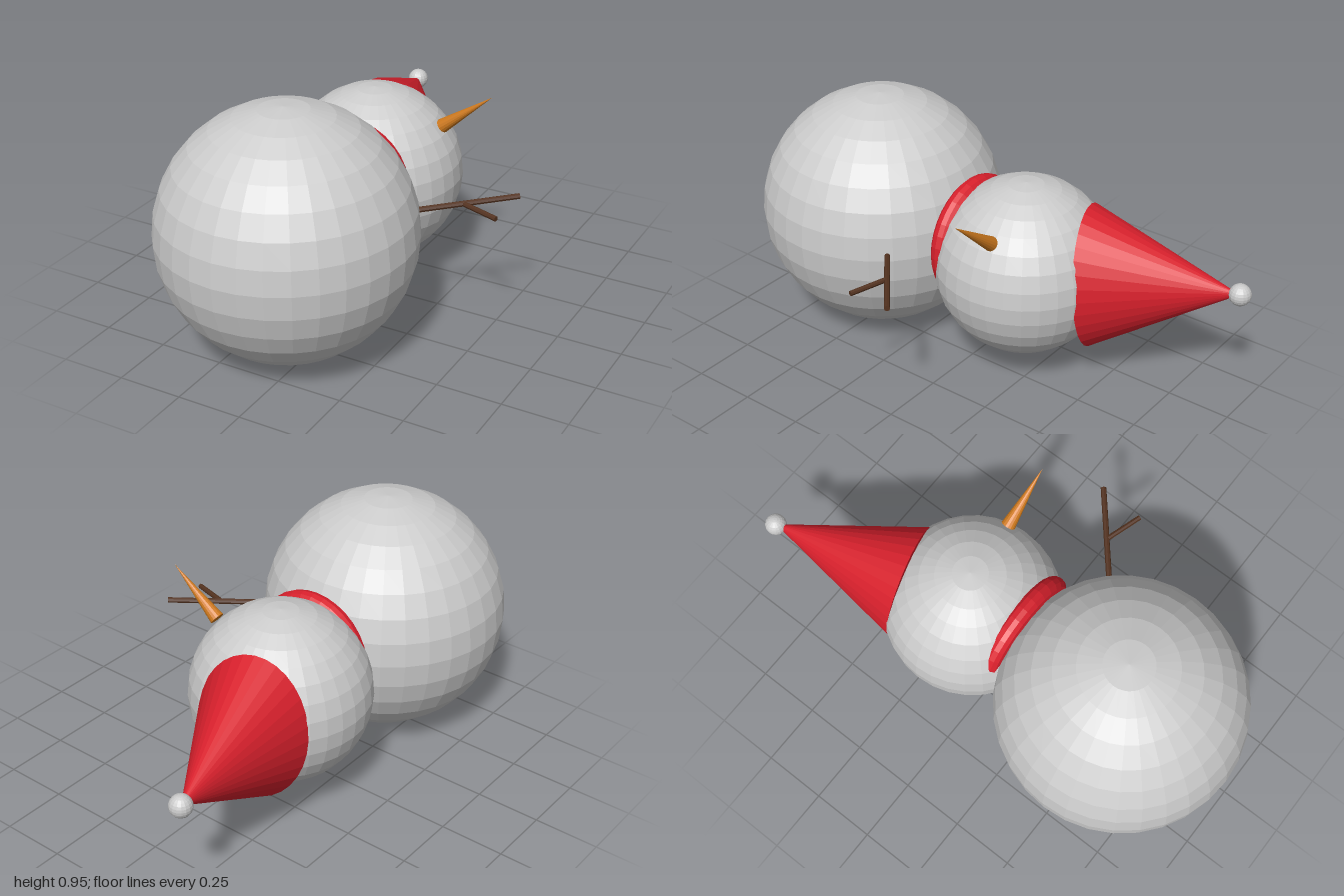
import * as THREE from 'three';

const V = (x, y, z) => new THREE.Vector3(x, y, z);
const mat = (color) => new THREE.MeshStandardMaterial({ color, flatShading: true });

const snow = mat(0xcccccc);
const red = mat(0xd8202c);
const carrot = mat(0xcf7a1e);
const wood = mat(0x53321f);

function part(name, geometry, material, position) {
  const mesh = new THREE.Mesh(geometry, material);
  mesh.name = name;
  mesh.position.copy(position);
  return mesh;
}

// Tapered cylinder running from a to b; squash narrows its x axis
function rod(name, a, b, rA, rB, sides, material, squash = 1) {
  const dir = b.clone().sub(a);
  const geometry = new THREE.CylinderGeometry(rB, rA, dir.length(), sides);
  geometry.scale(squash, 1, 1);
  const mesh = part(name, geometry, material, a.clone().add(b).multiplyScalar(0.5));
  // x axis of the rod stays horizontal
  const y = dir.normalize();
  const x = V(0, 1, 0).cross(y).normalize();
  const z = x.clone().cross(y);
  mesh.quaternion.setFromRotationMatrix(new THREE.Matrix4().makeBasis(x, y, z));
  return mesh;
}

export function createModel() {
  const group = new THREE.Group();
  group.name = 'snowman';

  // Snowballs, lying along z
  group.add(part('body', new THREE.SphereGeometry(0.476, 32, 16), snow, V(-0.09, 0.48, 0.523)));
  group.add(part('head', new THREE.SphereGeometry(0.345, 32, 16), snow, V(-0.113, 0.433, -0.162)));

  // Scarf ring round the neck
  group.add(part('scarf', new THREE.TorusGeometry(0.206, 0.038, 12, 32), red, V(-0.09, 0.487, 0.063)));

  // Oval pointed hat with a pompom
  const tip = V(-0.336, 0.484, -0.958);
  group.add(rod('hat', V(-0.188, 0.434, -0.415), tip, 0.287, 0, 32, red, 0.75));
  group.add(part('pompom', new THREE.SphereGeometry(0.042, 16, 12), snow, tip));

  // Carrot nose
  group.add(rod('nose', V(0.157, 0.655, -0.202), V(0.361, 0.812, -0.2), 0.028, 0, 16, carrot));

  // Twig arm with one side shoot
  const arm = new THREE.Group();
  arm.name = 'leftArm';
  arm.add(rod('armStick', V(0.25, 0.502, 0.212), V(0.553, 0.52, -0.046), 0.011, 0.011, 8, wood));
  arm.add(rod('armTwig', V(0.39, 0.51, 0.09), V(0.543, 0.506, 0.136), 0.01, 0.01, 8, wood));
  group.add(arm);

  return group;
}
